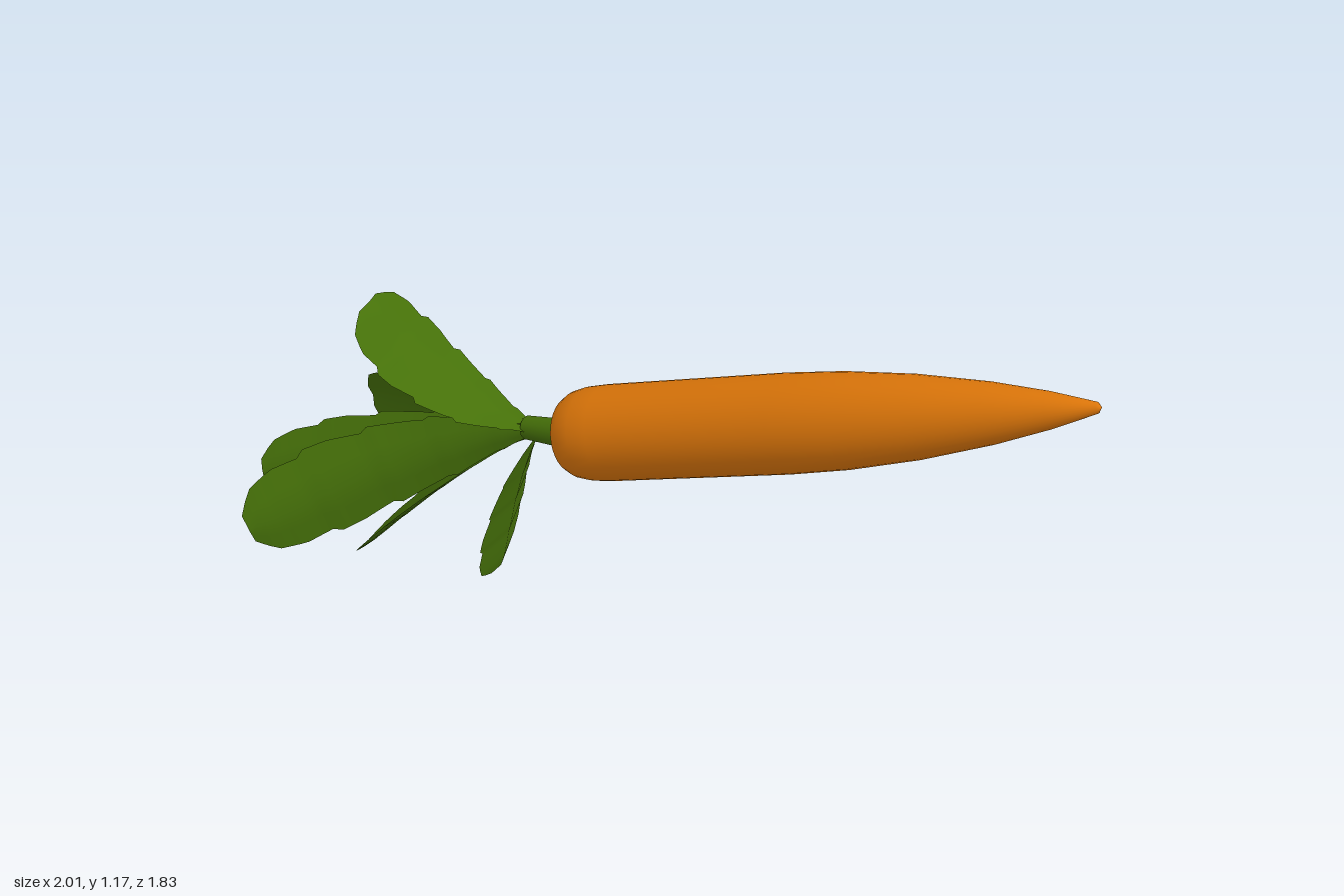
import * as THREE from 'three';

const V = (x, y, z) => new THREE.Vector3(x, y, z);
const material = (name, color, side = THREE.FrontSide) => {
  const m = new THREE.MeshStandardMaterial({ color, side });
  m.name = name;
  return m;
};

const CROWN = V(-0.08, 0.657, 0.005); // centre of the widest ring by the leaves
const TIP = V(1.0, 1.17, 0.91);
const AXIS = TIP.clone().sub(CROWN).normalize();
const STEM_END = V(-0.205, 0.612, -0.125);
const LEAF_ROOT = V(-0.172, 0.622, -0.088);

// Half width along a leaf, as [position, share of the greatest half width]
const OUTLINE = [[0, 0.12], [0.12, 0.24], [0.25, 0.5], [0.42, 0.78], [0.7, 1], [0.88, 0.95], [0.95, 0.75], [1, 0.35]];

function halfWidth(t) {
  let i = 1;
  while (i < OUTLINE.length - 1 && t > OUTLINE[i][0]) i++;
  const [t0, w0] = OUTLINE[i - 1], [t1, w1] = OUTLINE[i];
  return w0 + (w1 - w0) * (t - t0) / (t1 - t0);
}

// A curved, shallowly folded blade with saw-toothed edges
function leafGeometry({ tip, bend, half, across }) {
  const rows = 40, cols = 4;
  const curve = new THREE.QuadraticBezierCurve3(LEAF_ROOT, bend, tip);
  const back = AXIS.clone().negate();
  const side = (across || back.clone().cross(tip.clone().sub(LEAF_ROOT))).clone().normalize();
  const positions = [], index = [];
  for (let i = 0; i <= rows; i++) {
    const t = i / rows;
    const p = curve.getPoint(t);
    const normal = curve.getTangent(t).cross(side).normalize();
    const tooth = 0.95 + 0.12 * ((i % 8) / 7);
    const w = half * halfWidth(t) * tooth;
    for (let j = 0; j <= cols; j++) {
      const u = (j / cols) * 2 - 1;
      const q = p.clone().addScaledVector(side, u * w)
        .addScaledVector(normal, 0.2 * w * (Math.abs(u) - 0.5));
      positions.push(q.x, q.y, q.z);
      if (i < rows && j < cols) {
        const a = i * (cols + 1) + j, b = a + cols + 1;
        index.push(a, a + 1, b, a + 1, b + 1, b);
      }
    }
  }
  const g = new THREE.BufferGeometry();
  g.setAttribute('position', new THREE.Float32BufferAttribute(positions, 3));
  g.setIndex(index);
  g.computeVertexNormals();
  return g;
}

export function createModel() {
  const model = new THREE.Group();
  const orange = material('orange skin', 0xe2790a);
  const brown = material('crown brown', 0xa84a10);
  const green = material('leaf green', 0x467109, THREE.DoubleSide);

  const add = (parent, name, geometry, mat) => {
    const mesh = new THREE.Mesh(geometry, mat);
    mesh.name = name;
    parent.add(mesh);
    return mesh;
  };
  const lathe = (points) =>
    new THREE.LatheGeometry(points.map(([r, s]) => new THREE.Vector2(r, s)), 32);

  // Tapered root, turned about its own slanting axis
  const root = new THREE.Group();
  root.name = 'root';
  root.position.copy(CROWN);
  root.quaternion.setFromUnitVectors(V(0, 1, 0), AXIS);
  model.add(root);
  const length = TIP.distanceTo(CROWN);
  add(root, 'rootBody', lathe([
    [0.082, -0.043], [0.104, -0.028], [0.119, -0.002], [0.128, 0.04], [0.131, 0.1], [0.131, 0.4],
    [0.131, 0.65], [0.125, 0.82], [0.107, 1.02], [0.077, 1.22], [0.046, 1.37],
    [0.014, length - 0.01], [0, length],
  ]), orange);
  add(root, 'crown', lathe([[0, -0.036], [0.05, -0.037], [0.082, -0.043]]), brown);

  // Short stem joining root and leaves
  const stemStart = CROWN.clone().addScaledVector(AXIS, -0.03);
  const stemCurve = new THREE.LineCurve3(stemStart, STEM_END);
  const stem = new THREE.CylinderGeometry(0.034, 0.042, stemCurve.getLength(), 12);
  const stemMesh = add(model, 'stem', stem, green);
  stemMesh.position.copy(stemCurve.getPoint(0.5));
  stemMesh.quaternion.setFromUnitVectors(V(0, 1, 0), stemCurve.getTangent(0));

  // Leaves fanning out around the axis
  const leaves = [
    { name: 'upperLeaf', tip: V(-0.6, 0.92, -0.37), bend: V(-0.4, 0.64, -0.26), half: 0.135 },
    { name: 'outerRightLeaf', tip: V(-0.99, 0.305, -0.23), bend: V(-0.49, 0.53, -0.26), half: 0.135 },
    { name: 'innerRightLeaf', tip: V(-0.93, 0.36, -0.44), bend: V(-0.5, 0.51, -0.33), half: 0.1, across: V(-0.05, 0.95, -0.2) },
    { name: 'outerBackLeaf', tip: V(-0.45, 0.44, -0.915), bend: V(-0.42, 0.54, -0.44), half: 0.125, across: V(0.25, -0.95, 0.05) },
    { name: 'innerBackLeaf', tip: V(-0.57, 0.34, -0.81), bend: V(-0.42, 0.51, -0.4), half: 0.105, across: V(0.2, -0.95, 0.1) },
    { name: 'lowerLeaf', tip: V(-0.275, 0.055, -0.26), bend: V(-0.24, 0.44, -0.19), half: 0.13 },
    { name: 'innerLowerLeaf', tip: V(-0.65, 0.008, -0.5), bend: V(-0.38, 0.43, -0.27), half: 0.1 },
  ];
  for (const leaf of leaves) add(model, leaf.name, leafGeometry(leaf), green);

  return model;
}
